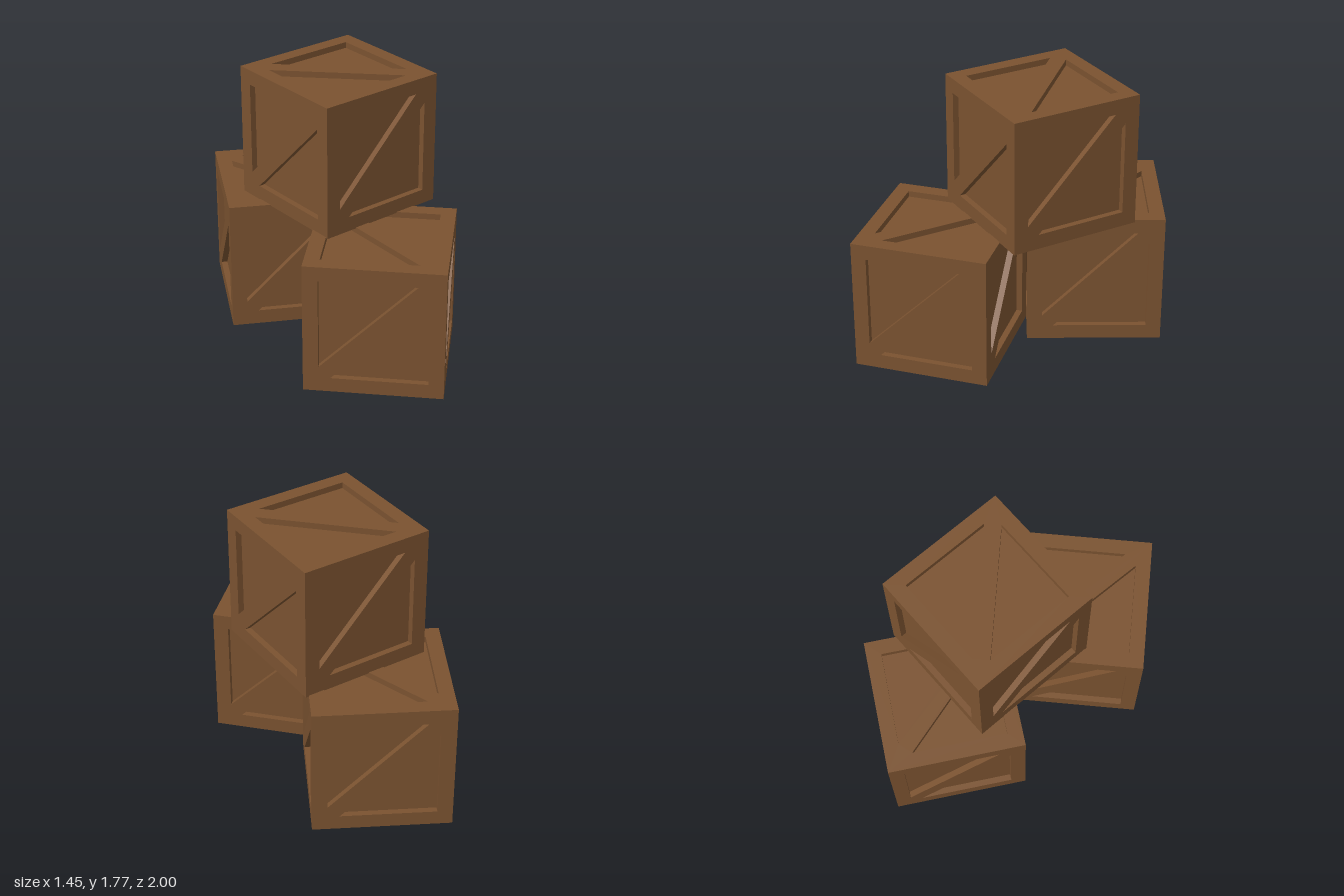
import * as THREE from 'three';
import { mergeGeometries } from 'three/addons/utils/BufferGeometryUtils.js';

const SIZE = 0.886, HALF = SIZE / 2, INNER = 0.345, GAP = 0.075, DEPTH = 0.04;

// Sloping walls around one triangular recess, facing into the recess
function recessWalls(points) {
  const pos = [];
  points.forEach((a, i) => {
    const b = points[(i + 1) % points.length];
    pos.push(a.x, a.y, 0, b.x, b.y, 0, b.x, b.y, -DEPTH);
    pos.push(a.x, a.y, 0, b.x, b.y, -DEPTH, a.x, a.y, -DEPTH);
  });
  const g = new THREE.BufferGeometry();
  g.setAttribute('position', new THREE.Float32BufferAttribute(pos, 3));
  g.computeVertexNormals();
  return g;
}

// One crate side: flush frame and diagonal board with two sunken triangles
function sidePanel() {
  const v = (x, y) => new THREE.Vector2(x, y);
  const frame = new THREE.Shape([v(-HALF, -HALF), v(HALF, -HALF), v(HALF, HALF), v(-HALF, HALF)]);
  const upper = [v(-INNER, INNER), v(-INNER, GAP - INNER), v(INNER - GAP, INNER)];
  const lower = upper.map(p => v(-p.x, -p.y));
  const parts = [];
  for (const tri of [upper, lower]) {
    frame.holes.push(new THREE.Path(tri));
    const floor = new THREE.ShapeGeometry(new THREE.Shape(tri)).translate(0, 0, -DEPTH);
    parts.push(floor.toNonIndexed(), recessWalls(tri));
  }
  parts.push(new THREE.ShapeGeometry(frame).toNonIndexed());
  parts.forEach(g => g.deleteAttribute('uv'));
  return mergeGeometries(parts).translate(0, 0, HALF);
}

// Six panels folded into a cube
function crateGeometry() {
  const panel = sidePanel();
  const sides = [0, 1, 2, 3].map(i => panel.clone().rotateY(i * Math.PI / 2));
  const caps = [-1, 1].map(s => panel.clone().rotateZ(Math.PI / 2).rotateX(s * Math.PI / 2));
  return mergeGeometries([...sides, ...caps]);
}

export function createModel() {
  const group = new THREE.Group();
  group.name = 'crateStack';
  const wood = new THREE.MeshStandardMaterial({ color: 0x7a5230 });
  const geometry = crateGeometry();

  // name, centre x, base y, centre z, turn in degrees
  const crates = [
    ['backCrate', -0.287, 0, -0.557, 0],
    ['frontCrate', 0.167, 0, 0.441, -17.3],
    ['topCrate', 0.002, 0.88, -0.197, 29],
  ];
  for (const [name, x, y, z, turn] of crates) {
    const crate = new THREE.Mesh(geometry, wood);
    crate.name = name;
    crate.position.set(x, y + HALF, z);
    crate.rotation.y = THREE.MathUtils.degToRad(turn);
    group.add(crate);
  }
  return group;
}
